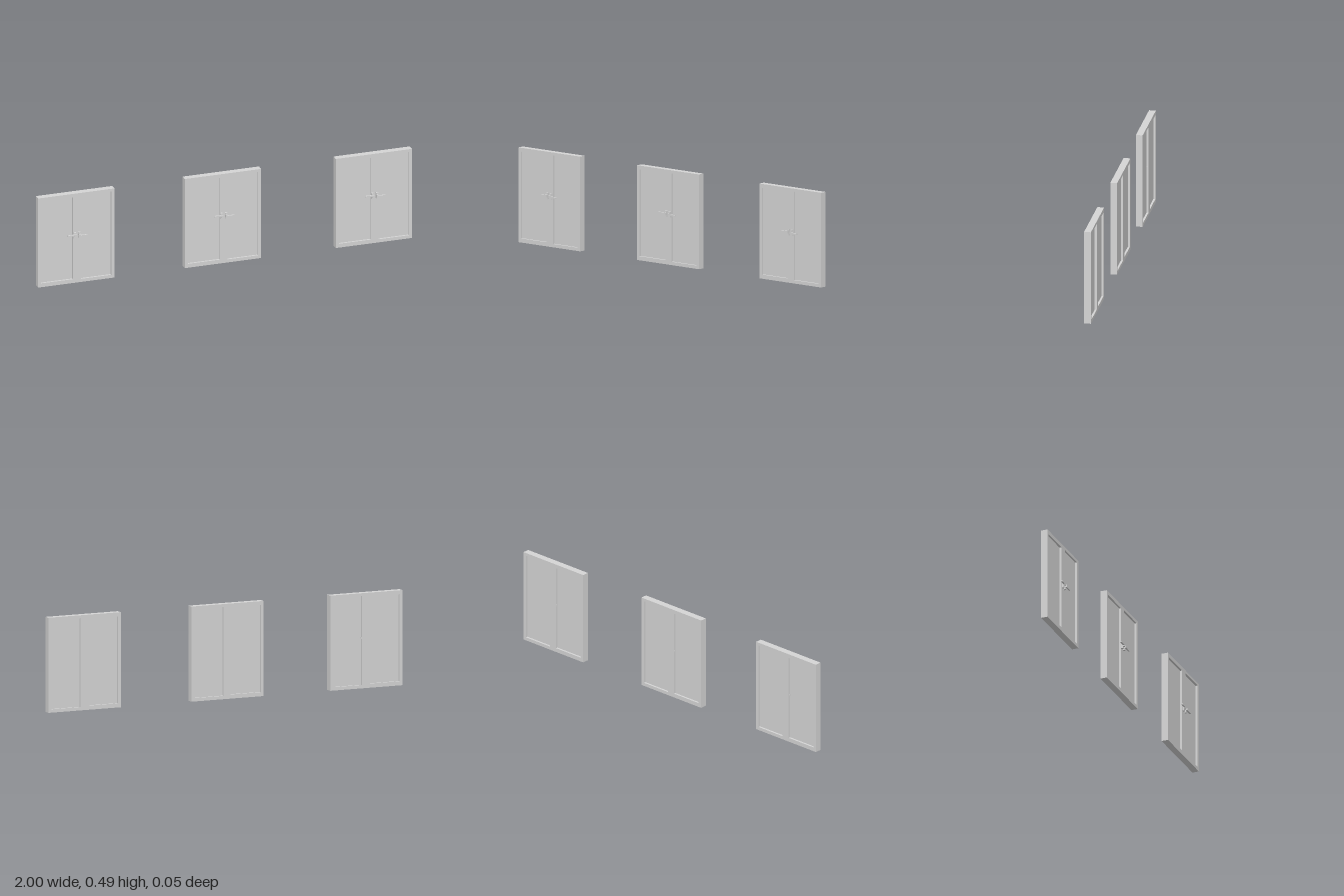
import * as THREE from 'three';

const W = 0.408, H = 0.486, BACK = -0.026, FRONT = 0.009;

export function createModel() {
  const model = new THREE.Group();
  const grey = new THREE.MeshStandardMaterial({ color: 0xd5d5d5 });
  grey.name = 'lightGrey';

  const add = (parent, name, geometry, x = 0, y = 0, z = 0) => {
    const mesh = new THREE.Mesh(geometry, grey);
    mesh.name = name;
    mesh.position.set(x, y, z);
    parent.add(mesh);
  };
  const rect = (path, x0, y0, x1, y1) =>
    path.moveTo(x0, y0).lineTo(x1, y0).lineTo(x1, y1).lineTo(x0, y1).closePath();

  // Frame outline with one opening on each side of the central stile
  const outline = rect(new THREE.Shape(), -W / 2, 0, W / 2, H);
  const openings = [
    [-0.188, 0.021, -0.018, H - 0.02],
    [0.024, 0.017, 0.187, H - 0.015],
  ];
  for (const o of openings) outline.holes.push(rect(new THREE.Path(), ...o));
  const frameGeo = new THREE.ExtrudeGeometry(outline, { depth: FRONT - BACK, bevelEnabled: false });
  frameGeo.translate(0, 0, BACK);

  const plateGeo = new THREE.BoxGeometry(0.012, 0.032, 0.009);
  const spindleGeo = new THREE.CylinderGeometry(0.004, 0.004, 0.008, 12).rotateX(Math.PI / 2);
  const hubGeo = new THREE.BoxGeometry(0.009, 0.013, 0.008);
  const leverGeo = new THREE.BoxGeometry(0.047, 0.007, 0.008);
  const latchGeo = new THREE.BoxGeometry(0.005, 0.009, 0.006);

  [-0.796, -0.011, 0.796].forEach((cx, i) => {
    const win = new THREE.Group();
    win.name = `window${i + 1}`;
    win.position.x = cx;
    model.add(win);
    add(win, 'frame', frameGeo);

    // Recessed panes
    for (const [x0, y0, x1, y1] of openings) {
      add(win, 'pane', new THREE.BoxGeometry(x1 - x0, y1 - y0, 0.014), (x0 + x1) / 2, (y0 + y1) / 2, -0.0085);
    }

    // Pair of lever handles on the stile, one slightly higher than the other
    for (const s of [-1, 1]) {
      const handle = new THREE.Group();
      handle.name = s < 0 ? 'rightHandle' : 'leftHandle';
      handle.position.set(0.003, 0.26, FRONT);
      win.add(handle);
      add(handle, 'handlePlate', plateGeo, s * 0.012, 0, 0.0045);
      add(handle, 'spindle', spindleGeo, s * 0.011, 0, 0.009);
      add(handle, 'hub', hubGeo, s * 0.011, 0.001, 0.0132);
      add(handle, 'lever', leverGeo, s * 0.0295, 0.001 - s * 0.003, 0.0132);
      // Small latch on the side of the stile
      add(win, 'latch', latchGeo, s < 0 ? -0.0185 : 0.0245, 0.257, -0.019);
    }
  });
  return model;
}
